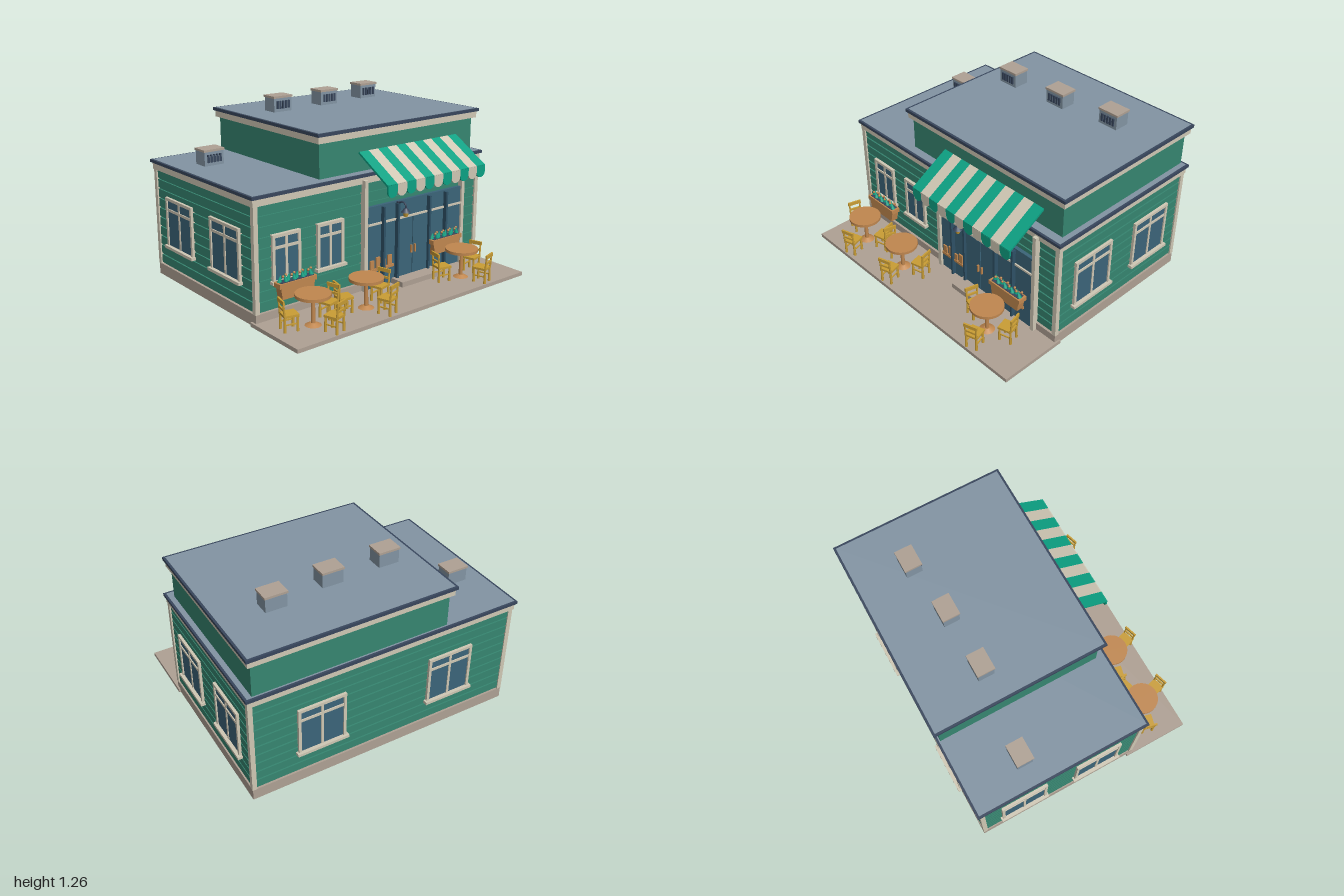
import * as THREE from 'three';

const mat = (name, color) => Object.assign(new THREE.MeshStandardMaterial({ color }), { name });
const M = {
  wall: mat('wall green', 0x368570),
  teal: mat('awning teal', 0x0ca183),
  cream: mat('cream trim', 0xcfc7b4),
  glass: mat('window blue', 0x3b6479),
  frame: mat('shopfront frame blue', 0x2e5166),
  roof: mat('roof grey', 0x8294a3),
  navy: mat('navy edging', 0x38465c),
  stone: mat('taupe stone', 0xaea093),
  wood: mat('orange wood', 0xc0874f),
  yellow: mat('yellow wood', 0xc99d35),
};

function add(parent, name, geometry, material, x = 0, y = 0, z = 0) {
  const mesh = new THREE.Mesh(geometry, material);
  mesh.name = name;
  mesh.position.set(x, y, z);
  parent.add(mesh);
  return mesh;
}

// Box given by its minimum and maximum on each axis
const box = (parent, name, material, x0, x1, y0, y1, z0, z1) =>
  add(parent, name, new THREE.BoxGeometry(x1 - x0, y1 - y0, z1 - z0), material,
    (x0 + x1) / 2, (y0 + y1) / 2, (z0 + z1) / 2);

const cyl = (parent, name, material, rTop, rBottom, h, x, y, z, sides = 12) =>
  add(parent, name, new THREE.CylinderGeometry(rTop, rBottom, h, sides), material, x, y, z);

function group(parent, name, x = 0, y = 0, z = 0, turn = 0) {
  const g = new THREE.Group();
  g.name = name;
  g.position.set(x, y, z);
  g.rotation.y = turn;
  parent.add(g);
  return g;
}

// Window facing +z, with its back on z = 0
function makeWindow(parent, x, z, turn, w, y0, y1, barY) {
  const g = group(parent, 'window', x, 0, z, turn), h = w / 2, t = 0.02;
  box(g, 'windowGlass', M.glass, -h + 0.005, h - 0.005, y0, y1 - 0.005, -0.01, 0.009);
  for (const s of [-1, 1]) {
    const c = s * (h - t / 2);
    box(g, 'windowJamb', M.cream, c - t / 2, c + t / 2, y0, y1, -0.01, 0.018);
  }
  box(g, 'windowHead', M.cream, -h, h, y1 - t, y1, -0.01, 0.019);
  box(g, 'windowBar', M.cream, -h, h, barY - 0.009, barY + 0.009, -0.01, 0.016);
  box(g, 'windowMullion', M.cream, -0.009, 0.009, y0, y1, -0.01, 0.014);
  box(g, 'windowSill', M.cream, -h - 0.013, h + 0.013, y0 - 0.02, y0, -0.01, 0.034);
}

// Cream fascia, navy edge and grey deck
function makeRoof(parent, x0, x1, z0, z1, yBottom, yEdge, yTop) {
  const g = group(parent, 'roof');
  box(g, 'fascia', M.cream, x0 + 0.012, x1 - 0.012, yBottom, yEdge, z0 + 0.012, z1 - 0.012);
  box(g, 'roofEdge', M.navy, x0, x1, yEdge, yTop, z0, z1);
  box(g, 'roofDeck', M.roof, x0 + 0.015, x1 - 0.015, yTop - 0.01, yTop + 0.002, z0 + 0.015, z1 - 0.015);
}

function makeVent(parent, x, y, z) {
  const g = group(parent, 'roofVent', x, y, z);
  box(g, 'ventBody', M.roof, -0.073, 0.073, 0, 0.095, -0.056, 0.056);
  box(g, 'ventCap', M.stone, -0.079, 0.079, 0.095, 0.11, -0.061, 0.061);
  for (let i = -2; i <= 2; i++)
    box(g, 'ventSlot', M.navy, i * 0.023 - 0.007, i * 0.023 + 0.007, 0.022, 0.076, 0.055, 0.064);
}

// Chair with its back towards +z
function makeChair(parent, x, z, turn) {
  const g = group(parent, 'chair', x, 0.025, z, turn);
  box(g, 'seat', M.yellow, -0.046, 0.046, 0.095, 0.11, -0.05, 0.048);
  for (const s of [-1, 1]) {
    cyl(g, 'frontLeg', M.yellow, 0.007, 0.01, 0.097, s * 0.037, 0.0485, -0.04, 8);
    cyl(g, 'backLeg', M.yellow, 0.007, 0.01, 0.097, s * 0.037, 0.0485, 0.042, 8);
    const post = cyl(g, 'backPost', M.yellow, 0.006, 0.007, 0.1, s * 0.039, 0.155, 0.048, 8);
    post.rotation.x = 0.08;
    box(g, 'sideRail', M.yellow, s * 0.037 - 0.004, s * 0.037 + 0.004, 0.045, 0.053, -0.04, 0.042);
  }
  box(g, 'backRail', M.yellow, -0.039, 0.039, 0.138, 0.152, 0.042, 0.052);
  box(g, 'topRail', M.yellow, -0.048, 0.048, 0.18, 0.205, 0.045, 0.057);
}

function makeTableSet(parent, x, z) {
  const g = group(parent, 'tableSet', x, 0, z);
  cyl(g, 'tableTop', M.wood, 0.113, 0.113, 0.02, 0, 0.225, 0, 28);
  cyl(g, 'tableLeg', M.wood, 0.012, 0.015, 0.19, 0, 0.12, 0);
  cyl(g, 'tableFoot', M.wood, 0.02, 0.055, 0.018, 0, 0.034, 0, 16);
  for (const [cx, cz] of [[-0.152, -0.038], [0.152, -0.04], [0.046, 0.15]])
    makeChair(g, cx, cz, Math.atan2(cx, cz));
}

function makePlanter(parent, x, z) {
  const g = group(parent, 'planter', x, 0, z);
  const trough = new THREE.Shape([[-0.118, 0.17], [0.118, 0.17], [0.13, 0.25], [-0.13, 0.25]]
    .map(([a, b]) => new THREE.Vector2(a, b)));
  add(g, 'planterBox', new THREE.ExtrudeGeometry(trough, { depth: 0.055, bevelEnabled: false }), M.wood, 0, 0, -0.027);
  box(g, 'planterRim', M.wood, -0.142, 0.142, 0.245, 0.275, -0.034, 0.034);
  box(g, 'soil', M.navy, -0.125, 0.125, 0.27, 0.278, -0.024, 0.024);
  for (let i = 0; i < 8; i++) {
    const px = -0.112 + i * 0.032;
    const leaf = add(g, 'leaves', new THREE.ConeGeometry(0.017, 0.05, 6), M.teal, px, 0.298, i % 2 ? 0.006 : -0.006);
    leaf.rotation.z = i % 2 ? 0.2 : -0.2;
    add(g, 'flower', new THREE.SphereGeometry(0.009, 8, 6), M.wood, px + 0.012, 0.313, i % 2 ? -0.008 : 0.01);
  }
}

function makeAwning(parent) {
  const g = group(parent, 'awning'), x0 = -0.112, n = 11, w = 0.898 / n, r = w / 2;
  const run = 0.285, drop = 0.17;
  const scallop = new THREE.Shape();
  scallop.moveTo(-r, 0.045);
  scallop.lineTo(-r, 0);
  scallop.absarc(0, 0, r, Math.PI, Math.PI * 2, false);
  scallop.lineTo(r, 0.045);
  const flap = new THREE.ExtrudeGeometry(scallop, { depth: 0.012, bevelEnabled: false, curveSegments: 10 });
  const strip = new THREE.BoxGeometry(w, 0.014, Math.hypot(run, drop));
  for (let i = 0; i < n; i++) {
    const x = x0 + w * (i + 0.5), m = i % 2 ? M.cream : M.teal;
    add(g, 'awningStripe', strip, m, x, 0.875, 0.345 + run / 2).rotation.x = Math.atan2(drop, run);
    add(g, 'awningScallop', flap, m, x, 0.755, 0.621);
  }
}

function makeShopfront(parent) {
  const g = group(parent, 'shopfront');
  box(g, 'shopGlass', M.glass, -0.095, 0.78, 0.03, 0.6, 0.38, 0.418);
  for (const x of [-0.115, 0.793]) box(g, 'entryPost', M.cream, x - 0.014, x + 0.014, 0.025, 0.79, 0.37, 0.432);
  box(g, 'transomBar', M.cream, -0.095, 0.78, 0.472, 0.486, 0.41, 0.428);
  for (const x of [0.033, 0.16, 0.455, 0.618])
    box(g, 'shopMullion', M.frame, x - 0.008, x + 0.008, 0.04, 0.59, 0.41, 0.448);
  // Double doors and handles
  for (const s of [-1, 1]) {
    const c = 0.308 + s * 0.073;
    box(g, 'door', M.glass, c - 0.07, c + 0.07, 0.06, 0.47, 0.41, 0.428);
    const h = 0.308 + s * 0.018;
    box(g, 'doorHandle', M.wood, h - 0.005, h + 0.005, 0.215, 0.27, 0.425, 0.442);
  }
  box(g, 'doorStep', M.stone, 0.125, 0.505, 0.02, 0.062, 0.4, 0.53);
  // Display crates
  for (const side of [-0.085, 0.49]) {
    box(g, 'displayShelf', M.wood, side, side + 0.22, 0.15, 0.168, 0.415, 0.432);
    [0.06, 0.075, 0.05, 0.07].forEach((h, i) =>
      box(g, 'displayCrate', M.wood, side + 0.01 + i * 0.053, side + 0.045 + i * 0.053, 0.168, 0.168 + h, 0.415, 0.428));
  }
}

function makeLamp(parent) {
  const g = group(parent, 'wallLamp', 0.17, 0, 0);
  const path = new THREE.CatmullRomCurve3([[0.43, 0.57], [0.445, 0.598], [0.475, 0.605], [0.498, 0.59], [0.5, 0.565]]
    .map(([z, y]) => new THREE.Vector3(0, y, z)));
  add(g, 'lampArm', new THREE.TubeGeometry(path, 16, 0.006, 8), M.navy);
  box(g, 'lampBracket', M.navy, -0.009, 0.009, 0.54, 0.6, 0.42, 0.438);
  cyl(g, 'lampShade', M.navy, 0.01, 0.033, 0.028, 0, 0.556, 0.5, 14);
  cyl(g, 'lampGlass', M.yellow, 0.022, 0.014, 0.03, 0, 0.528, 0.5, 10);
}

export function createModel() {
  const model = new THREE.Group();
  model.name = 'cafe';

  // Ground and plinth
  box(model, 'terrace', M.stone, -0.988, 0.985, 0, 0.026, 0.36, 0.845);
  box(model, 'plinth', M.stone, -0.973, 0.973, 0, 0.08, -0.815, 0.402);

  // Lower storey with grooved siding
  box(model, 'wallCore', M.wall, -0.955, 0.955, 0.07, 0.77, -0.8, 0.382);
  const boards = 10, pitch = 0.685 / boards;
  for (let i = 0; i < boards; i++) {
    const y = 0.08 + i * pitch;
    box(model, 'sidingBoard', M.wall, -0.966, 0.966, y + 0.011, y + pitch, -0.81, 0.393);
  }
  for (const x of [-0.96, 0.96]) for (const z of [-0.8, 0.388])
    box(model, 'cornerTrim', M.cream, x - 0.016, x + 0.016, 0.08, 0.77, z - 0.016, z + 0.016);
  makeRoof(model, -0.992, 0.992, -0.836, 0.418, 0.765, 0.812, 0.832);

  // Upper storey
  box(model, 'upperWall', M.wall, -0.435, 0.942, 0.82, 1.07, -0.812, 0.345);
  makeRoof(model, -0.47, 0.98, -0.848, 0.382, 1.067, 1.112, 1.133);

  // Roof vents
  for (const [x, y, z] of [[-0.767, 0.845, -0.415], [-0.222, 1.147, -0.388], [0.2, 1.147, -0.408], [0.617, 1.147, -0.462]])
    makeVent(model, x, y, z);

  // Windows on the front, back and both sides
  for (const x of [-0.738, -0.393]) makeWindow(model, x, 0.393, 0, 0.215, 0.272, 0.567, 0.482);
  for (const x of [-0.485, 0.48]) makeWindow(model, x, -0.81, Math.PI, 0.342, 0.255, 0.597, 0.51);
  for (const s of [-1, 1]) for (const z of [0.075, -0.492])
    makeWindow(model, s * 0.966, z, s * Math.PI / 2, 0.342, 0.255, 0.597, 0.51);

  // Entrance and terrace furniture
  makeShopfront(model);
  makeAwning(model);
  makeLamp(model);
  for (const x of [-0.71, 0.592]) makePlanter(model, x, 0.455);
  for (const x of [-0.71, -0.286, 0.585]) makeTableSet(model, x, 0.63);
  return model;
}
